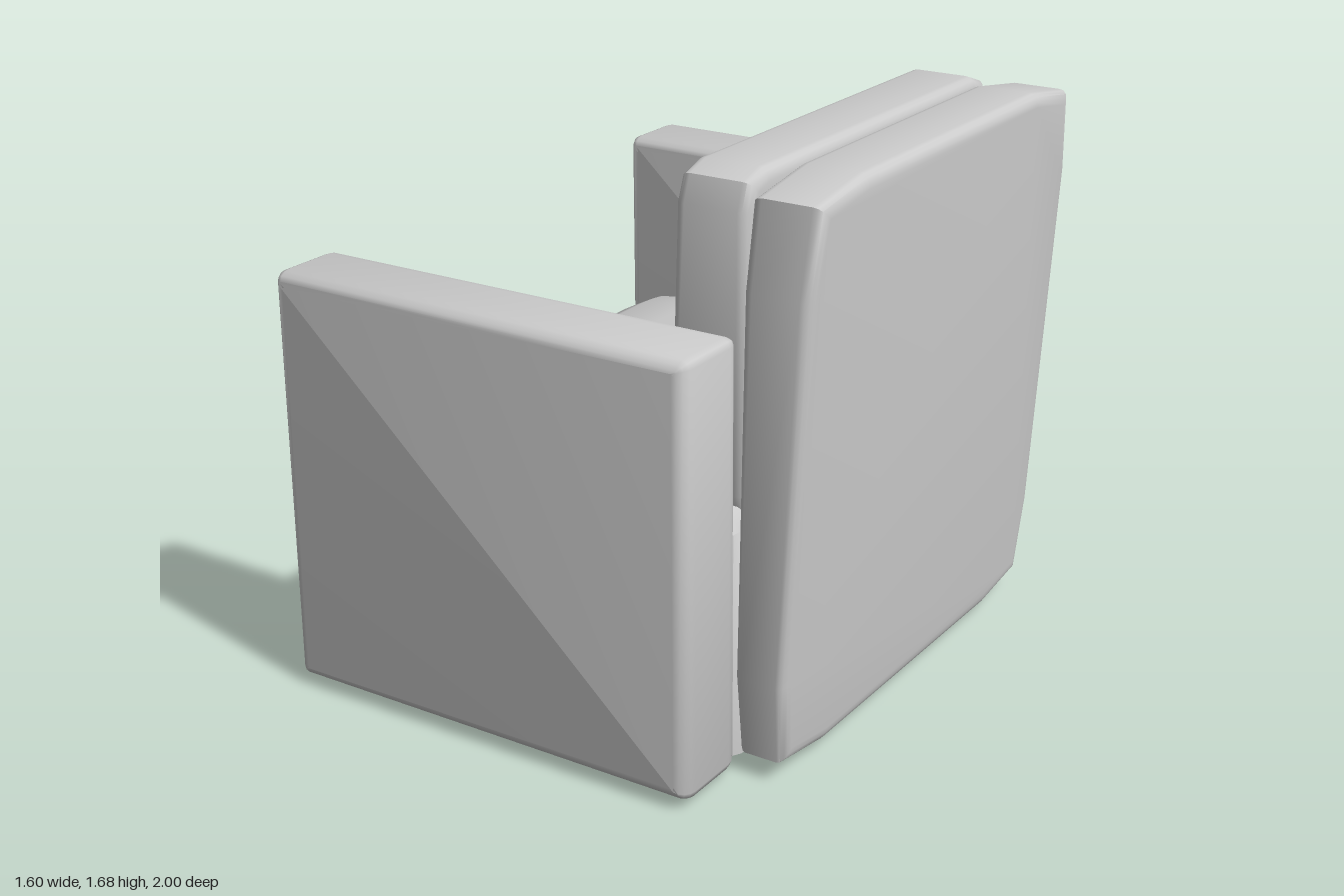
import * as THREE from 'three';
import { toCreasedNormals } from 'three/addons/utils/BufferGeometryUtils.js';

const material = new THREE.MeshStandardMaterial({ color: 0xcccccc });

// Upholstered pad: an outline given thickness along z, with rounded rims
function padGeometry(points, thickness, rimDepth, rimInset) {
  const shape = new THREE.Shape(points.map(([x, y]) => new THREE.Vector2(x, y)));
  const geometry = new THREE.ExtrudeGeometry(shape, {
    depth: thickness - 2 * rimDepth,
    bevelThickness: rimDepth,
    bevelSize: rimInset,
    bevelOffset: -rimInset,
    bevelSegments: 4,
    steps: 1,
  });
  return geometry.translate(0, 0, rimDepth - thickness / 2);
}

// Rectangle whose corners are cut back by two points each, giving a soft outline
function softRectangle(x0, x1, y0, y1, cutX, cutY, pull = 0.29) {
  const cx = (x0 + x1) / 2, cy = (y0 + y1) / 2;
  const hx = (x1 - x0) / 2, hy = (y1 - y0) / 2;
  const corner = [
    [hx, hy - cutY],
    [hx - cutX * pull, hy - cutY * pull],
    [hx - cutX, hy],
  ];
  const flipped = corner.map(([x, y]) => [-x, y]).reverse();
  const upper = [...corner, ...flipped];
  const lower = upper.map(([x, y]) => [-x, -y]);
  return [...upper, ...lower].map(([x, y]) => [x + cx, y + cy]);
}

// Turn a pad to face along x and fit it between sloping front and rear planes
function lean(geometry, frontAt, rearAt) {
  geometry.rotateY(Math.PI / 2);
  const p = geometry.attributes.position;
  for (let i = 0; i < p.count; i++) {
    const y = p.getY(i);
    p.setX(i, THREE.MathUtils.lerp(frontAt(y), rearAt(y), p.getX(i) + 0.5));
  }
  return geometry;
}

export function createModel() {
  const group = new THREE.Group();
  const add = (name, geometry) => {
    const mesh = new THREE.Mesh(toCreasedNormals(geometry, 0.9), material);
    mesh.name = name;
    group.add(mesh);
    return mesh;
  };

  // Arms: upright slabs, nearly square in outline with rounded rims
  for (const [name, side, shift] of [['frontArm', 1, -0.005], ['rearArm', -1, 0.005]]) {
    const outline = softRectangle(-0.8, 0.565, 0.025, 1.28, 0.025, 0.025);
    const arm = add(name, padGeometry(outline, 0.265, 0.05, 0.04));
    arm.position.set(shift, 0, side * 0.865);
  }

  // Seat: deep block with a rolled front edge and slightly bellied underside
  const seatProfile = [
    [0.57, 0.05], [0.52, 0.025], [0.3, 0.01], [-0.1, 0], [-0.45, 0.01], [-0.68, 0.025],
    [-0.75, 0.07], [-0.78, 0.22], [-0.785, 0.5], [-0.775, 0.64], [-0.74, 0.71],
    [-0.66, 0.75], [-0.48, 0.775], [-0.1, 0.79], [0.3, 0.785], [0.52, 0.77], [0.57, 0.73],
  ];
  add('seat', padGeometry(seatProfile, 1.53, 0.14, 0.025));

  // Backrest: tapering slab that thickens and leans towards the top
  const backOutline = softRectangle(-0.765, 0.765, 0.03, 1.685, 0.265, 0.28, 0.13);
  add('backrest', lean(padGeometry(backOutline, 1, 0.16, 0.04),
    (y) => 0.555 + 0.017 * y, (y) => 0.7 + 0.06 * y));

  // Cushion resting on the seat in front of the backrest
  const cushionOutline = softRectangle(-0.69, 0.69, 0.7, 1.685, 0.1, 0.1, 0.25);
  add('backCushion', lean(padGeometry(cushionOutline, 1, 0.15, 0.035),
    (y) => 0.27 + 0.036 * y, () => 0.555));

  return group;
}
